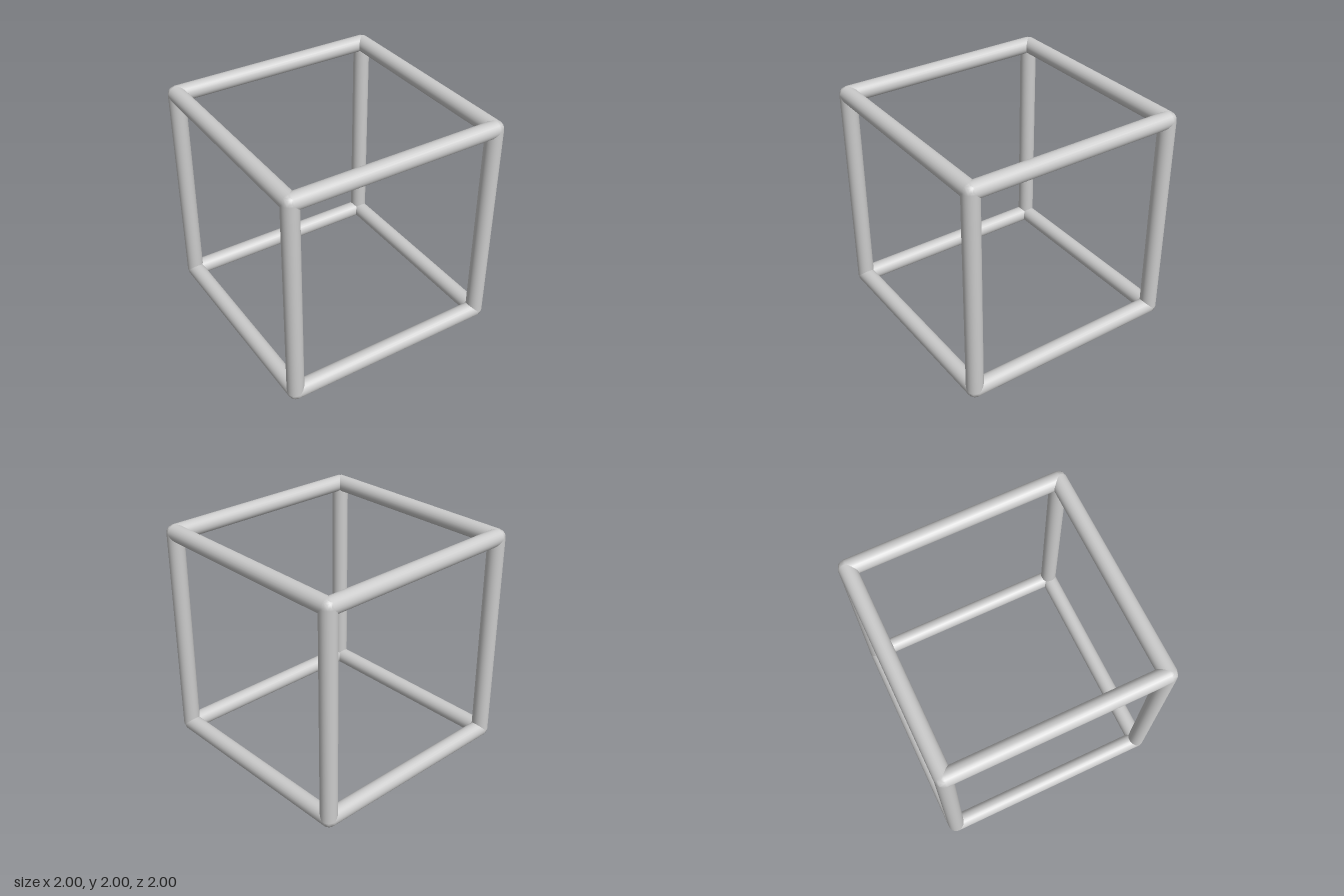
import * as THREE from 'three';

export function createModel() {
  const model = new THREE.Group();
  const material = new THREE.MeshStandardMaterial({ color: 0xcccccc });
  const radius = 0.0725;
  const offset = 1 - radius; // rod axes from the cube centre

  // One round-ended rod shared by all twelve edges
  const rod = new THREE.CapsuleGeometry(radius, 2 * offset, 2, 24);

  function addRod(name, x, y, z, rx = 0, rz = 0) {
    const mesh = new THREE.Mesh(rod, material);
    mesh.name = name;
    mesh.position.set(x, y + 1, z);
    mesh.rotation.set(rx, 0, rz);
    model.add(mesh);
  }

  // Four parallel rods along each axis
  for (const a of [-offset, offset]) {
    for (const b of [-offset, offset]) {
      const level = a > 0 ? 'top' : 'bottom';
      const end = b > 0 ? 'Front' : 'Back';
      const side = b > 0 ? 'Left' : 'Right';
      addRod((a > 0 ? 'left' : 'right') + end + 'Post', a, 0, b);
      addRod(level + end + 'Rail', 0, a, b, 0, Math.PI / 2);
      addRod(level + side + 'Rail', b, a, 0, Math.PI / 2, 0);
    }
  }
  return model;
}
